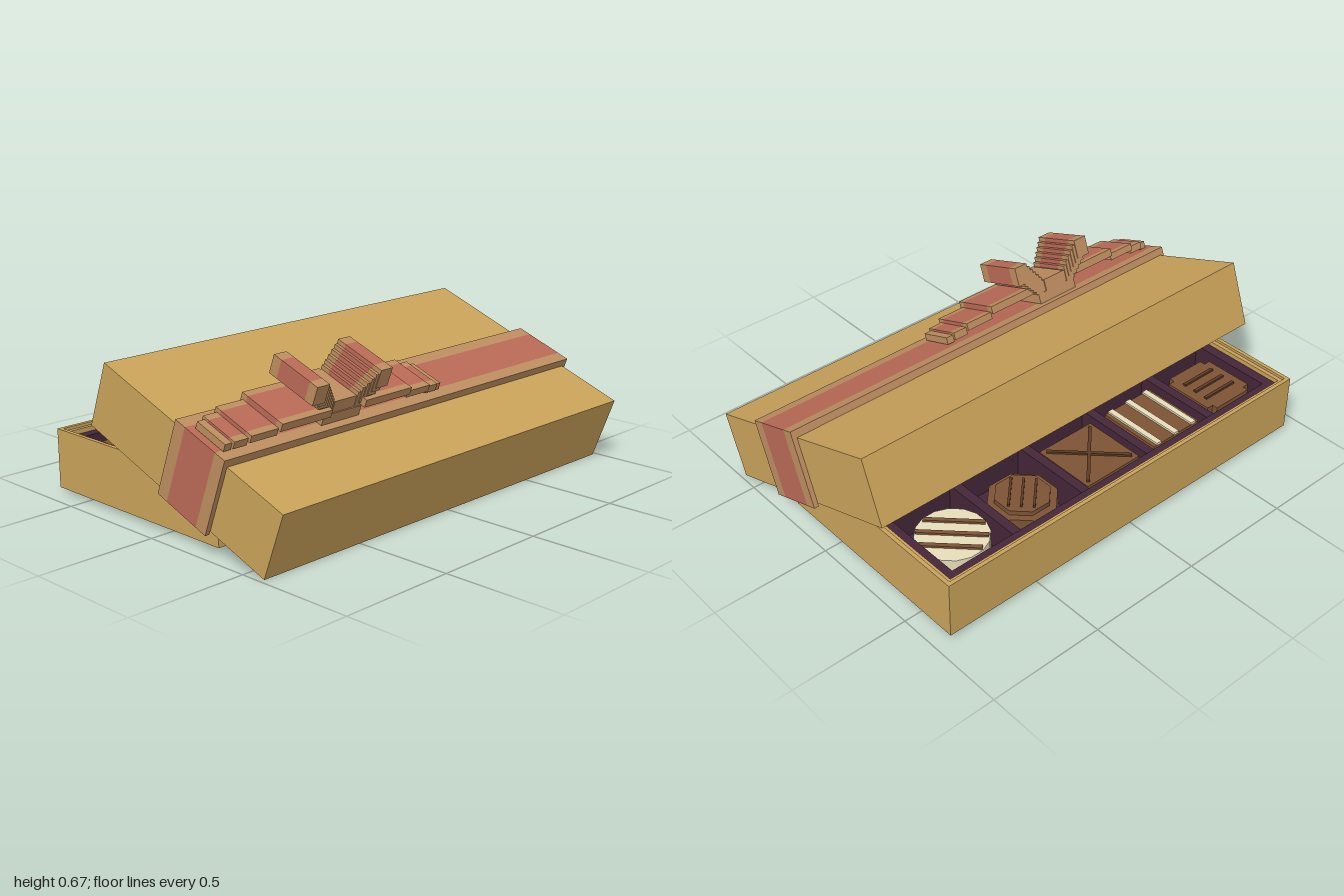
import * as THREE from 'three';

const mat = (name, color) => {
  const m = new THREE.MeshStandardMaterial({ color });
  m.name = name;
  return m;
};

export function createModel() {
  const card = mat('gold card', 0xc9a25a);
  const red = mat('ribbon red', 0xb96a56);
  const edge = mat('ribbon edge', 0xbc8c5f);
  const liner = mat('dark liner', 0x452638);
  const brown = mat('milk chocolate', 0x7d5336);
  const dark = mat('dark chocolate', 0x5e3b25);
  const cream = mat('white chocolate', 0xe6dcba);

  const model = new THREE.Group();
  model.name = 'chocolateBox';

  const group = (parent, name) => {
    const g = new THREE.Group();
    g.name = name;
    parent.add(g);
    return g;
  };
  // Box given by its limits on each axis
  const box = (parent, name, m, x0, x1, y0, y1, z0, z1) => {
    const mesh = new THREE.Mesh(new THREE.BoxGeometry(x1 - x0, y1 - y0, z1 - z0), m);
    mesh.position.set((x0 + x1) / 2, (y0 + y1) / 2, (z0 + z1) / 2);
    mesh.name = name;
    parent.add(mesh);
    return mesh;
  };
  // Four walls around a rectangle
  const walls = (parent, name, m, x0, x1, y0, y1, z0, z1, t) => {
    box(parent, name, m, x0, x1, y0, y1, z0, z0 + t);
    box(parent, name, m, x0, x1, y0, y1, z1 - t, z1);
    box(parent, name, m, x0, x0 + t, y0, y1, z0 + t, z1 - t);
    box(parent, name, m, x1 - t, x1, y0, y1, z0 + t, z1 - t);
  };

  // Tray
  const tray = group(model, 'tray');
  box(tray, 'trayFloor', card, -0.92, 0.93, 0.02, 0.05, -0.68, 0.285);
  walls(tray, 'trayWall', card, -0.92, 0.93, 0.05, 0.267, -0.68, 0.285, 0.017);
  walls(tray, 'trayInnerRim', card, -0.903, 0.913, 0.05, 0.255, -0.663, 0.268, 0.018);

  // Dark insert with two rows of five pockets
  const columns = [-0.695, -0.35, 0.005, 0.36, 0.71];
  const rows = [-0.43, 0.035];
  box(tray, 'insertFloor', liner, -0.885, 0.895, 0.05, 0.09, -0.645, 0.25);
  walls(tray, 'insertBorder', liner, -0.885, 0.895, 0.09, 0.235, -0.645, 0.25, 0.045);
  for (let i = 0; i < 4; i++) {
    const x = (columns[i] + columns[i + 1]) / 2;
    box(tray, 'insertDivider', liner, x - 0.02, x + 0.02, 0.09, 0.228, -0.6, 0.205);
  }
  box(tray, 'insertMiddle', liner, -0.84, 0.85, 0.09, 0.232, -0.225, -0.17);

  // Chocolates: tops at TOP, decorations are thin plates on them
  const TOP = 0.21;
  const plate = (parent, name, m, x, z, w, d, turn = 0) => {
    const p = box(parent, name, m, -w / 2, w / 2, TOP, TOP + 0.009, -d / 2, d / 2);
    p.position.x = x;
    p.position.z = z;
    p.rotation.y = turn;
  };
  const prism = (parent, name, m, r, y0, y1, sides) => {
    const mesh = new THREE.Mesh(
      new THREE.CylinderGeometry(r, r, y1 - y0, sides, 1, false, Math.PI / sides), m);
    mesh.position.y = (y0 + y1) / 2;
    mesh.name = name;
    parent.add(mesh);
  };
  const makers = [
    // Rounded block with cross bars
    (g) => {
      box(g, 'chocolate', brown, -0.125, 0.125, 0.09, TOP, -0.11, 0.11);
      box(g, 'chocolate', brown, -0.095, 0.095, 0.09, TOP, -0.135, 0.135);
      for (const z of [-0.06, 0, 0.06]) plate(g, 'bar', dark, 0, z, 0.17, 0.014);
    },
    // Block with cream stripes
    (g) => {
      box(g, 'chocolate', brown, -0.13, 0.13, 0.09, TOP, -0.14, 0.14);
      for (const x of [-0.1, 0, 0.1]) plate(g, 'creamStripe', cream, x, 0, 0.026, 0.28);
    },
    // Block with crossed lines
    (g) => {
      box(g, 'chocolate', brown, -0.14, 0.14, 0.09, TOP, -0.14, 0.14);
      for (const s of [-1, 1]) plate(g, 'crossLine', dark, 0, 0, 0.34, 0.014, s * Math.PI / 4);
    },
    // Stepped octagon
    (g) => {
      prism(g, 'chocolate', brown, 0.145, 0.09, TOP - 0.02, 8);
      prism(g, 'chocolateTop', brown, 0.115, TOP - 0.02, TOP, 8);
      for (const z of [-0.05, 0, 0.05]) {
        plate(g, 'ridge', dark, z * 0.7, z * 0.7, 0.16, 0.01, Math.PI / 4);
      }
    },
    // White round with diagonal drizzle
    (g) => {
      prism(g, 'chocolate', cream, 0.145, 0.09, TOP, 16);
      for (const o of [-0.07, 0, 0.07]) {
        plate(g, 'drizzle', brown, o * 0.7, -o * 0.7, 2 * Math.sqrt(0.138 ** 2 - o * o), 0.018, -Math.PI / 4);
      }
    },
  ];
  for (const z of rows) {
    columns.forEach((x, i) => {
      const g = group(tray, 'chocolatePiece');
      g.position.set(x, 0, z);
      makers[i](g);
    });
  }

  // Tilted hollow lid
  const lid = group(model, 'lid');
  lid.position.set(0, 0.3125, 0.159);
  lid.rotation.x = 0.357;
  box(lid, 'lidTop', card, -0.98, 0.98, 0.12, 0.14, -0.51, 0.51);
  walls(lid, 'lidWall', card, -0.98, 0.98, -0.14, 0.12, -0.51, 0.51, 0.02);

  // Red strip bordered by two edge strips
  const strip = (parent, name, x0, x1, y0, y1, zc, half, border) => {
    const a = zc - half, b = zc + half;
    box(parent, name, red, x0, x1, y0, y1, a + border, b - border);
    box(parent, name + 'Edge', edge, x0, x1, y0, y1, a, a + border);
    box(parent, name + 'Edge', edge, x0, x1, y0, y1, b - border, b);
  };

  // Ribbon over the lid and down both ends
  const ribbon = group(lid, 'ribbon');
  strip(ribbon, 'ribbonTop', -1, 1, 0.14, 0.172, 0.075, 0.138, 0.054);
  for (const s of [-1, 1]) {
    strip(ribbon, 'ribbonEnd', s < 0 ? -1 : 0.98, s < 0 ? -0.98 : 1, -0.154, 0.14, 0.075, 0.138, 0.054);
  }

  // Bow, mirrored about its knot
  const bow = group(lid, 'bow');
  bow.position.x = -0.398;
  box(bow, 'knot', edge, -0.1, 0.1, 0.172, 0.215, -0.03, 0.18);
  box(bow, 'knotTop', edge, -0.055, 0.055, 0.215, 0.265, -0.03, 0.175);
  const tailSteps = [
    // x from, x to, y from, y to, half width
    [0.09, 0.345, 0.222, 0.255, 0.112],
    [0.345, 0.475, 0.2, 0.23, 0.1],
    [0.475, 0.54, 0.183, 0.214, 0.088],
  ];
  for (const s of [-1, 1]) {
    const span = (a, b) => (s > 0 ? [a, b] : [-b, -a]);
    // Loop: a staircase rising and widening outward
    const n = 8;
    for (let i = 0; i < n; i++) {
      const t = i / (n - 1);
      const x0 = 0.035 + i * 0.0145;
      const x1 = i === n - 1 ? 0.2 : x0 + 0.045;
      const top = 0.245 + 0.125 * t;
      strip(bow, 'bowLoop', ...span(x0, x1), top - 0.06 - 0.02 * t, top, 0.074, 0.096 + 0.024 * t, 0.042);
    }
    // Tail: flat steps falling toward the tip
    for (const [a, b, y0, y1, half] of tailSteps) {
      strip(bow, 'bowTail', ...span(a, b), y0, y1, 0.092, half, 0.03);
    }
    box(bow, 'bowTailTip', edge, ...span(0.54, 0.573), 0.175, 0.205, 0.015, 0.17);
  }

  return model;
}
